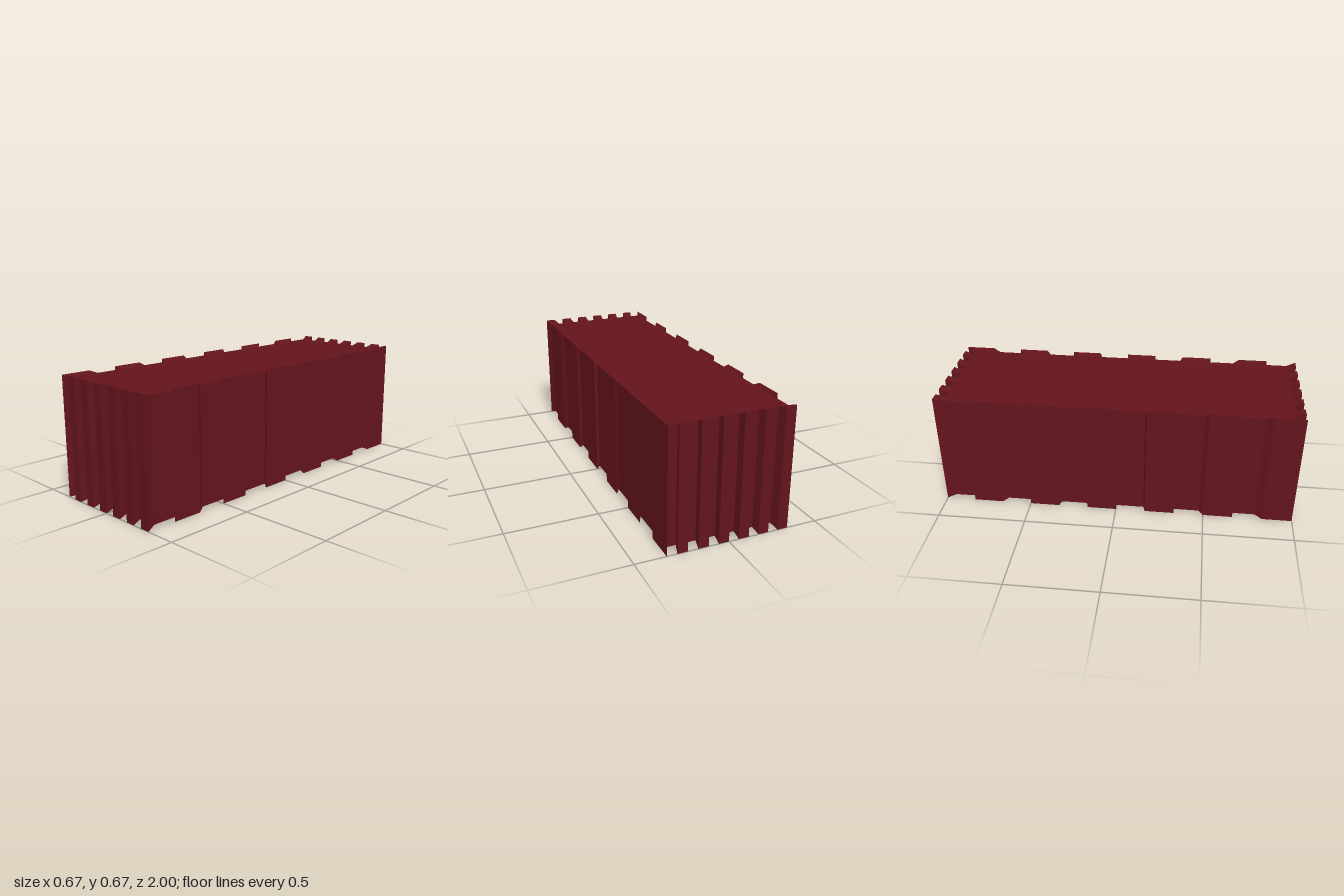
import * as THREE from 'three';

const HALF_W = 1 / 3, HALF_H = 1 / 3, HALF_L = 1; // overall half sizes
const INSET = 0.95; // recessed core relative to the outer ribs
const STRIPS = 12; // strips per wall, every second one is a rib

const material = new THREE.MeshStandardMaterial({ color: 0x64141c, flatShading: true });

// One rib: a wedge-sided block between the core wall and the outer wall
function ribGeometry(u0, u1, out) {
  const geo = new THREE.BoxGeometry(1, 2 * HALF_H, 1).toNonIndexed();
  const p = geo.attributes.position;
  for (let i = 0; i < p.count; i++) {
    const s = p.getZ(i) > 0 ? 1 : INSET;
    const u = p.getX(i) > 0 ? u1 : u0;
    p.setXYZ(i, u * s, p.getY(i) * s, out * s);
  }
  geo.computeVertexNormals();
  return geo;
}

// A wall of evenly spaced ribs, facing +z before it is turned
function ribbedWall(name, half, out, turn) {
  const wall = new THREE.Group();
  wall.name = name;
  const step = (2 * half) / STRIPS;
  for (let i = 1; i < STRIPS; i += 2) {
    const u0 = -half + i * step;
    const rib = new THREE.Mesh(ribGeometry(u0, u0 + step, out), material);
    rib.name = 'rib';
    wall.add(rib);
  }
  wall.rotation.y = turn;
  return wall;
}

export function createModel() {
  const container = new THREE.Group();
  container.name = 'container';

  // Recessed body: floor, roof and the wall strips between the ribs
  const core = new THREE.Mesh(
    new THREE.BoxGeometry(2 * HALF_W * INSET, 2 * HALF_H * INSET, 2 * HALF_L * INSET), material);
  core.name = 'body';
  container.add(core);

  // Corrugated walls, the same pattern running around all four sides
  ['frontWall', 'leftWall', 'backWall', 'rightWall'].forEach((name, k) => {
    const end = k % 2 === 0;
    container.add(ribbedWall(name, end ? HALF_W : HALF_L, end ? HALF_L : HALF_W, k * Math.PI / 2));
  });

  container.position.y = HALF_H;
  const model = new THREE.Group();
  model.name = 'corrugatedContainer';
  model.add(container);
  return model;
}
